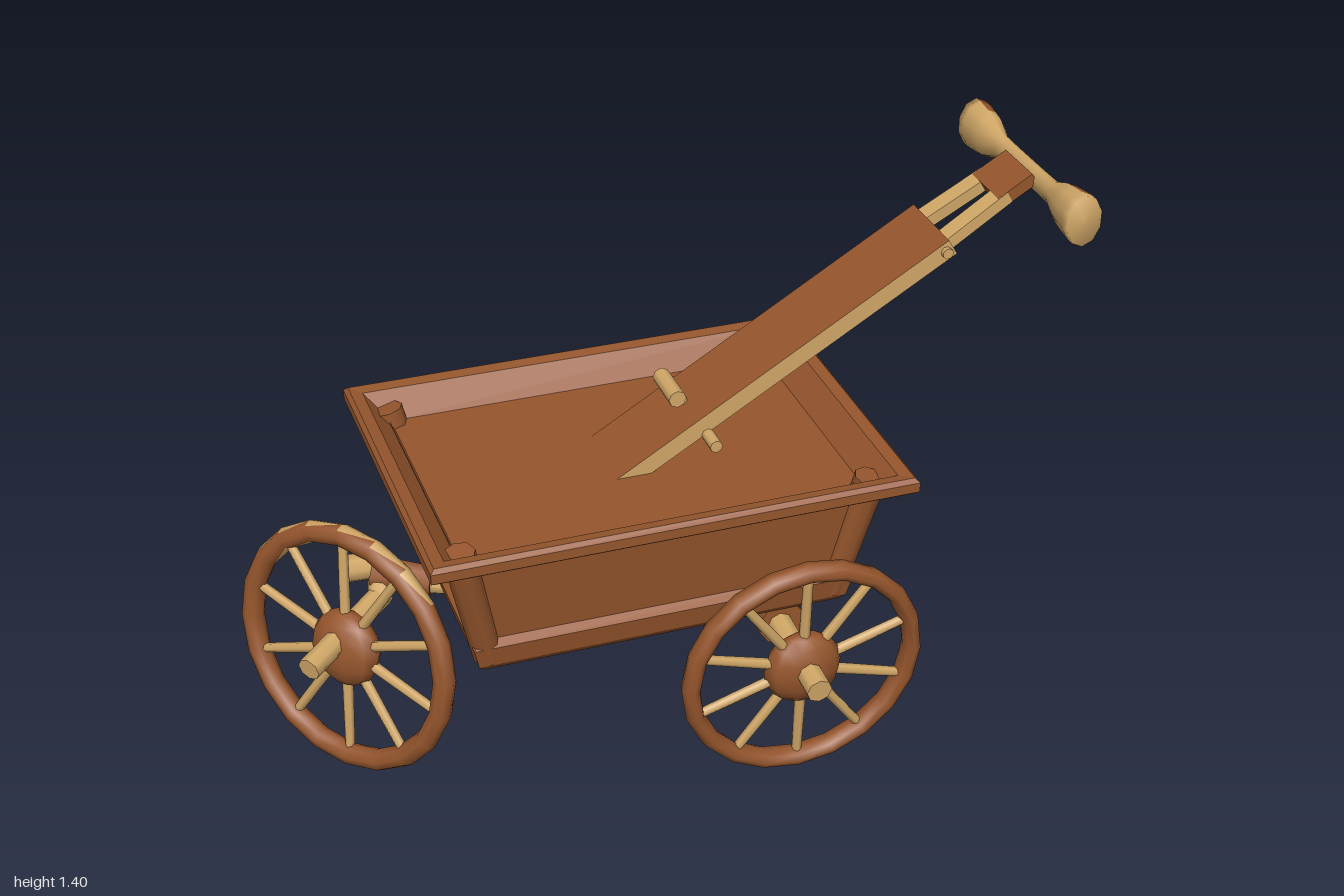
import * as THREE from 'three';

const mat = (name, color) => {
  const m = new THREE.MeshStandardMaterial({ color });
  m.name = name;
  return m;
};
const V = (p) => new THREE.Vector3(...p);

export function createModel() {
  const brown = mat('brown wood', 0x96562d);
  const tan = mat('pale wood', 0xd2a868);
  const cart = new THREE.Group();
  cart.name = 'handCart';

  const add = (name, geometry, material, pos = [0, 0, 0], parent = cart) => {
    const m = new THREE.Mesh(geometry, material);
    m.name = name;
    m.position.set(...pos);
    parent.add(m);
    return m;
  };

  // round bar from a to b
  const rod = (name, a, b, ra, rb, material, parent = cart, sides = 8) => {
    const A = V(a), B = V(b), d = B.clone().sub(A);
    const m = add(name, new THREE.CylinderGeometry(rb, ra, d.length(), sides), material,
      A.clone().lerp(B, 0.5).toArray(), parent);
    m.quaternion.setFromUnitVectors(V([0, 1, 0]), d.normalize());
    return m;
  };

  // second material on the triangles whose centre passes the test
  const paint = (geometry, test) => {
    const g = geometry.toNonIndexed(), p = g.attributes.position;
    g.clearGroups();
    for (let i = 0; i < p.count; i += 3) {
      const c = new THREE.Vector3();
      for (let k = 0; k < 3; k++) c.add(new THREE.Vector3().fromBufferAttribute(p, i + k));
      g.addGroup(i, 3, test(c.divideScalar(3)) ? 1 : 0);
    }
    return g;
  };

  // stacked rectangles [half x, half z, y] joined into one shell
  const loft = (rings) => {
    const pos = [], signs = [[1, 1], [1, -1], [-1, -1], [-1, 1]];
    const corner = (r, i) => [r[0] * signs[i % 4][0], r[2], r[1] * signs[i % 4][1]];
    for (let k = 0; k < rings.length - 1; k++) {
      for (let i = 0; i < 4; i++) {
        const a = corner(rings[k], i), b = corner(rings[k], i + 1);
        const c = corner(rings[k + 1], i + 1), d = corner(rings[k + 1], i);
        pos.push(...a, ...b, ...c, ...a, ...c, ...d);
      }
    }
    const g = new THREE.BufferGeometry();
    g.setAttribute('position', new THREE.Float32BufferAttribute(pos, 3));
    g.computeVertexNormals();
    return g;
  };

  // tub: base band, recessed side panels, rim and shallow bed
  const cx = -0.075;
  add('tub', loft([
    [0, 0, 0.42], [0.445, 0.305, 0.42], [0.462, 0.322, 0.44], [0.475, 0.332, 0.495],
    [0.455, 0.312, 0.51], [0.505, 0.345, 0.765], [0.57, 0.41, 0.76], [0.59, 0.43, 0.775],
    [0.59, 0.43, 0.8], [0.58, 0.42, 0.81], [0.55, 0.39, 0.805], [0.495, 0.335, 0.745], [0, 0, 0.745],
  ]), brown, [cx, 0, 0]);
  for (const sx of [-1, 1]) for (const sz of [-1, 1]) {
    rod('cornerPost', [cx + sx * 0.432, 0.45, sz * 0.292], [cx + sx * 0.503, 0.78, sz * 0.34],
      0.036, 0.04, brown);
  }

  // turntable and pegs under the tub
  add('turntable', new THREE.CylinderGeometry(0.135, 0.13, 0.05, 8), [brown, brown, tan], [-0.19, 0.4, 0]);
  for (const [x, z] of [[-0.265, 0.05], [-0.19, 0], [-0.115, -0.05]]) {
    rod('turntablePeg', [x, 0.34, z], [x, 0.38, z], 0.02, 0.02, tan);
  }
  rod('turntableBar', [-0.265, 0.365, 0.05], [-0.115, 0.365, -0.05], 0.01, 0.01, tan);

  // front axle
  rod('axleBeam', [0.25, 0.34, -0.28], [0.25, 0.34, 0.255], 0.06, 0.06, brown, cart, 10);
  add('axleBlock', new THREE.BoxGeometry(0.1, 0.07, 0.24), brown, [0.25, 0.4, 0]);
  rod('leftAxle', [0.245, 0.343, 0.2], [0.245, 0.318, 0.515], 0.032, 0.032, tan);
  rod('rightAxle', [0.26, 0.345, -0.2], [0.28, 0.345, -0.515], 0.024, 0.024, tan);
  rod('brokenHub', [0.28, 0.345, -0.395], [0.32, 0.35, -0.47], 0.032, 0.025, brown);

  // wheel facing along a normal, local z is its axle
  const wheel = (name, pos, normal, radius, tube, depth, spokes, test = () => false) => {
    const g = new THREE.Group();
    g.name = name;
    g.position.set(...pos);
    g.quaternion.setFromUnitVectors(V([0, 0, 1]), V(normal).normalize());
    const rim = new THREE.TorusGeometry(radius, tube, 8, 20).scale(1, 1, depth);
    add('wheelRim', paint(rim, test), [brown, tan], [0, 0, 0], g);
    if (spokes) add('wheelHub', new THREE.SphereGeometry(0.1, 10, 8).scale(1, 1, 0.55), brown, [0, 0, 0], g);
    for (let i = 0; i < spokes; i++) {
      const a = Math.PI / 2 + i * Math.PI * 2 / spokes, c = Math.cos(a), s = Math.sin(a);
      rod('spoke', [c * 0.07, s * 0.07, 0], [c * radius, s * radius, 0], 0.014, 0.012, tan, g, 6);
    }
    cart.add(g);
    return g;
  };
  wheel('leftWheel', [0.245, 0.315, 0.403], [0, -0.065, 1], 0.287, 0.023, 1.3, 10);
  wheel('rearWheel', [-0.79, 0.353, 0.02], [-0.79, 0.12, 0.6], 0.3, 0.028, 1,
    10, (p) => p.z < 0.008 && p.y > 0.2);
  const broken = wheel('brokenWheel', [0.475, 0.19, -0.338], [0.66, 0.5, -0.55], 0.15, 0.029, 1, 0);
  broken.updateMatrix();
  rod('brokenSpoke', [0.48, 0.11, -0.3], [0.4, 0.3, -0.385], 0.012, 0.012, tan);

  // rear axle and brace
  rod('rearAxle', [-0.9, 0.37, 0.105], [-0.67, 0.41, -0.09], 0.03, 0.03, tan);
  rod('rearKnob', [-0.74, 0.44, -0.18], [-0.66, 0.47, -0.13], 0.036, 0.036, tan);
  rod('rearJoint', [-0.68, 0.45, -0.13], [-0.55, 0.44, -0.06], 0.045, 0.038, brown);
  rod('rearLink', [-0.68, 0.41, -0.08], [-0.66, 0.46, -0.14], 0.03, 0.03, tan);
  rod('rearBrace', [-0.58, 0.44, -0.07], [-0.44, 0.42, 0], 0.03, 0.012, tan);

  // pulling handle, local x runs up the shaft
  const handle = new THREE.Group();
  handle.name = 'handle';
  handle.position.set(0.72, 1.225, 0);
  handle.rotation.z = 0.54;
  cart.add(handle);
  add('handlePlank', new THREE.BoxGeometry(0.98, 0.045, 0.206),
    [brown, brown, brown, brown, tan, tan], [-0.49, 0, 0], handle);
  for (const s of [-1, 1]) {
    const bar = add('handleFork', new THREE.BoxGeometry(0.22, 0.03, 0.05),
      [tan, tan, tan, brown, tan, tan], [0.07, 0, s * 0.056], handle);
    bar.rotation.y = s * 0.06;
    rod('handlePin', [-0.02, 0, s * 0.09], [-0.02, 0, s * 0.115], 0.014, 0.014, tan, handle);
  }
  add('forkBridge', new THREE.BoxGeometry(0.1, 0.031, 0.145), brown, [0.205, 0, 0], handle);

  // grip
  const half = [[0.03, 0], [0.03, 0.07], [0.031, 0.14], [0.055, 0.2], [0.06, 0.23], [0.065, 0.27], [0.065, 0.296], [0, 0.3]];
  const profile = [...half.slice(1).reverse().map(([r, z]) => [r, -z]), ...half];
  const grip = new THREE.LatheGeometry(profile.map((p) => new THREE.Vector2(...p)), 10)
    .rotateX(Math.PI / 2).scale(0.7, 1, 1);
  add('grip', paint(grip, (p) => p.x > 0 &&
    ((p.z > 0.19 && p.z < 0.26) || (p.z > 0.07 && p.z < 0.2 && p.y < 0) || p.z < -0.24)),
  [tan, brown], [0.955, 1.345, 0]);

  // hinge pin and latch knob
  rod('hingePin', [0.105, 0.825, -0.163], [0.105, 0.825, 0.163], 0.016, 0.016, tan);
  rod('latchStem', [0.1, 0.83, 0], [0.045, 0.91, 0], 0.014, 0.014, tan);
  rod('latchKnob', [0.043, 0.91, -0.06], [0.043, 0.91, 0.06], 0.022, 0.022, tan);

  return cart;
}
